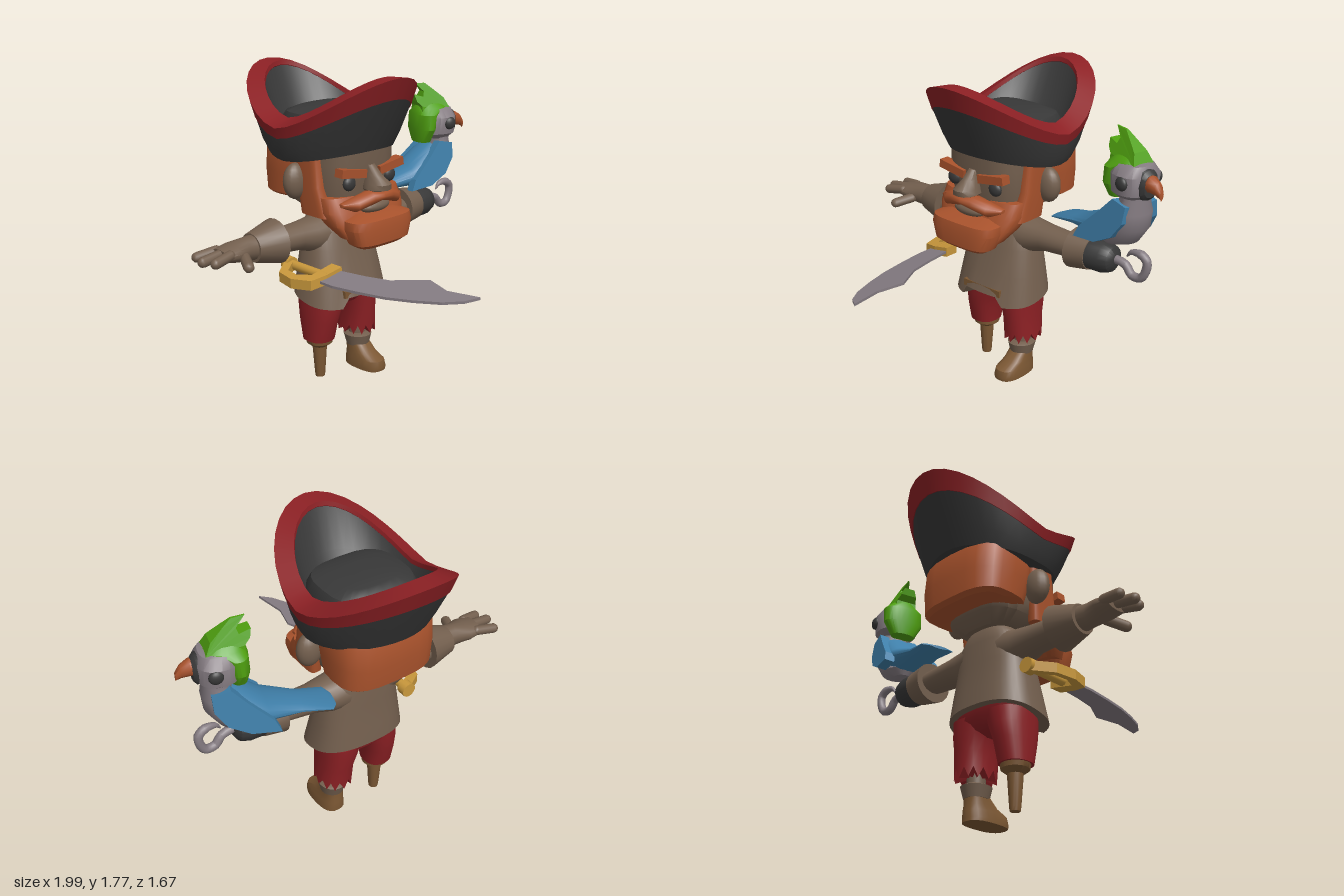
import * as THREE from 'three';
import { toCreasedNormals } from 'three/addons/utils/BufferGeometryUtils.js';

const material = (name, color) => Object.assign(new THREE.MeshStandardMaterial({ color }), { name });
const V = (x, y, z) => new THREE.Vector3(x, y, z);

export function createModel() {
  const brown = material('brown', 0x735f4e), red = material('red', 0x8c2024), black = material('black', 0x383838);
  const orange = material('orange', 0xa8522c), green = material('green', 0x4fa010), blue = material('blue', 0x3f7fa9);
  const grey = material('grey', 0x857c82), gold = material('gold', 0xc9983c), wood = material('wood', 0x7b5733);
  const model = new THREE.Group();
  const CX = -0.04; // middle of the figure

  const add = (name, geo, mat, parent = model) => {
    const mesh = new THREE.Mesh(geo, mat);
    mesh.name = name;
    parent.add(mesh);
    return mesh;
  };
  const ball = (name, mat, [x, y, z], [a, b, c], parent) => {
    const mesh = add(name, new THREE.SphereGeometry(1, 18, 12), mat, parent);
    mesh.position.set(x, y, z);
    mesh.scale.set(a, b, c);
  };
  const box = (name, mat, [x, y, z], [w, h, d], tilt = 0) => {
    const mesh = add(name, new THREE.BoxGeometry(w, h, d), mat);
    mesh.position.set(x, y, z);
    mesh.rotation.z = tilt;
  };
  // Skin over rings of points, with end caps unless it is a hoop, turned outward by its signed volume
  const skin = (rings, crease = 0.7, caps = true) => {
    const tris = [], n = rings[0].length;
    const mid = r => r.reduce((s, p) => s.add(p), V(0, 0, 0)).divideScalar(n);
    const first = mid(rings[0]), last = mid(rings.at(-1));
    for (let i = 0; i < n; i++) {
      const k = (i + 1) % n;
      if (caps) tris.push([first, rings[0][i], rings[0][k]], [last, rings.at(-1)[k], rings.at(-1)[i]]);
      for (let j = 0; j + 1 < rings.length; j++) {
        const a = rings[j], b = rings[j + 1];
        tris.push([a[i], b[i], a[k]], [a[k], b[i], b[k]]);
      }
    }
    const volume = tris.reduce((s, [a, b, c]) => s + a.dot(b.clone().cross(c)), 0);
    const pts = tris.flatMap(t => volume < 0 ? [t[0], t[2], t[1]] : t);
    return toCreasedNormals(new THREE.BufferGeometry().setFromPoints(pts), crease);
  };
  // Superellipse rings: upright rows are [y, cx, rx, zBack, zFront], sideways rows [x, cy, ry, cz, rz]
  const pow = (v, p) => Math.sign(v) * Math.abs(v) ** p;
  const loop = (n, f, p = 1) => Array.from({ length: n }, (_, i) => {
    const a = i / n * Math.PI * 2;
    return f(pow(Math.cos(a), p), pow(Math.sin(a), p));
  });
  const upright = (rows, p = 1, n = 24) => rows.map(([y, cx, rx, z0, z1]) =>
    loop(n, (c, s) => V(cx + rx * c, y, (z0 + z1) / 2 + (z1 - z0) / 2 * s), p));
  const sideways = (rows, p = 1, n = 18) => rows.map(([x, cy, ry, cz, rz]) =>
    loop(n, (c, s) => V(x, cy + ry * c, cz + rz * s), p));
  const plate = (pts, depth) => new THREE.ExtrudeGeometry(
    new THREE.Shape(pts.map(([x, y]) => new THREE.Vector2(x, y))), { depth, bevelEnabled: false });

  // Tunic with a lower front hem and a notch in its middle
  const tunic = upright([[0.51, CX, 0.28, -0.445, -0.045], [0.65, CX, 0.255, -0.435, -0.085], [0.8, CX, 0.23, -0.415, -0.125],
    [0.92, CX, 0.205, -0.41, -0.16], [0.98, CX, 0.16, -0.4, -0.18], [1.04, CX, 0.11, -0.37, -0.18]], 0.8, 40);
  tunic[0].forEach(p => {
    p.y = 0.47 + 0.08 * THREE.MathUtils.clamp((-0.045 - p.z) / 0.4, 0, 1) ** 1.4;
    if (p.z > -0.16 && Math.abs(p.x - CX) < 0.14) p.y = 0.53;
  });
  add('tunic', skin(tunic), brown);
  box('belt', wood, [CX, 0.55, -0.073], [0.27, 0.04, 0.03]);

  // Arms with turned cuffs
  for (const s of [-1, 1]) {
    add('sleeve', skin(sideways([[CX + s * 0.08, 0.875, 0.12, -0.285, 0.12], [CX + s * 0.2, 0.872, 0.098, -0.28, 0.108],
      [CX + s * 0.3, 0.883, 0.077, -0.28, 0.088], [CX + s * 0.52, 0.89, 0.06, -0.27, 0.08]])), brown);
  }
  add('rightCuff', skin(sideways([[-0.49, 0.895, 0.125, -0.27, 0.13], [-0.65, 0.89, 0.08, -0.275, 0.085]]), 0.5), brown);
  add('leftCuff', skin(sideways([[0.46, 0.89, 0.115, -0.27, 0.12], [0.58, 0.89, 0.095, -0.27, 0.1]]), 0.5), brown);

  // Right hand with spread fingers
  add('palm', skin(sideways([[-0.62, 0.895, 0.07, -0.27, 0.07], [-0.7, 0.895, 0.065, -0.27, 0.06],
    [-0.78, 0.897, 0.052, -0.27, 0.085], [-0.86, 0.897, 0.034, -0.27, 0.08]])), brown);
  const finger = (a, b, r) => {
    const mesh = add('finger', new THREE.CapsuleGeometry(r, a.distanceTo(b) - r, 4, 10), brown);
    mesh.position.copy(a).lerp(b, 0.5);
    mesh.quaternion.setFromUnitVectors(V(0, 1, 0), b.clone().sub(a).normalize());
  };
  [[-0.33, -0.355, -0.955], [-0.27, -0.265, -0.98], [-0.215, -0.195, -0.95]].forEach(([z0, z1, x]) =>
    finger(V(-0.82, 0.908, z0), V(x, 0.888, z1), 0.028));
  finger(V(-0.74, 0.88, -0.22), V(-0.8, 0.855, -0.1), 0.029);

  // Hook on the left arm
  add('hookCup', skin(sideways([[0.57, 0.89, 0.09, -0.27, 0.095], [0.66, 0.89, 0.088, -0.27, 0.09],
    [0.71, 0.89, 0.07, -0.27, 0.07], [0.73, 0.89, 0.035, -0.27, 0.035]])), black);
  const hookPath = new THREE.CatmullRomCurve3([[0.71, 0.9], [0.79, 0.885], [0.83, 0.838], [0.885, 0.838], [0.913, 0.88],
    [0.918, 0.94], [0.88, 0.97], [0.82, 0.965], [0.795, 0.935]].map(([x, y]) => V(x, y, -0.27)));
  const hook = Array.from({ length: 25 }, (_, i) => {
    const t = i / 24, c = hookPath.getPoint(t), d = hookPath.getTangent(t), r = t < 0.75 ? 0.024 : 0.024 - (t - 0.75) * 0.08;
    return loop(10, (a, b) => V(c.x - d.y * r * a, c.y + d.x * r * a, c.z + r * b));
  });
  add('hook', skin(hook), grey);

  // Trousers: hips, a neat right leg and a ragged left leg
  add('trouserHips', skin(upright([[0.425, CX, 0.1, -0.3, -0.24], [0.45, CX, 0.17, -0.37, -0.17], [0.5, CX, 0.235, -0.41, -0.125],
    [0.6, CX, 0.235, -0.41, -0.12]], 0.75), 1.2), red);
  add('rightTrouserLeg', skin(upright([[0.24, -0.19, 0.083, -0.36, -0.18], [0.36, -0.185, 0.092, -0.39, -0.15],
    [0.44, -0.172, 0.106, -0.405, -0.135], [0.52, -0.155, 0.122, -0.41, -0.13]], 0.85)), red);
  const ragged = upright([[0.24, 0.105, 0.097, -0.38, -0.15], [0.36, 0.1, 0.094, -0.39, -0.14],
    [0.44, 0.09, 0.106, -0.405, -0.135], [0.52, 0.075, 0.122, -0.41, -0.13]], 0.85);
  ragged[0].forEach((p, i) => { p.y += i % 2 ? 0.03 : -0.025; });
  add('leftTrouserLeg', skin(ragged), red);

  // Peg leg, and the other leg with its boot
  add('pegLeg', skin(upright([[0, -0.185, 0.027, -0.297, -0.243], [0.02, -0.185, 0.03, -0.3, -0.24], [0.19, -0.185, 0.042, -0.312, -0.228],
    [0.215, -0.185, 0.075, -0.345, -0.195], [0.25, -0.188, 0.08, -0.35, -0.19]])), wood);
  add('leftShin', skin(upright([[0.12, 0.105, 0.05, -0.31, -0.21], [0.32, 0.105, 0.05, -0.31, -0.21]])), brown);
  add('bootCuff', skin(upright([[0.125, 0.105, 0.065, -0.325, -0.185], [0.19, 0.105, 0.08, -0.345, -0.17], [0.2, 0.105, 0.06, -0.325, -0.19]])), brown);
  add('boot', skin(upright([[0, 0.105, 0.075, -0.325, -0.055], [0.02, 0.105, 0.075, -0.325, -0.05], [0.06, 0.105, 0.07, -0.325, -0.06],
    [0.09, 0.105, 0.063, -0.32, -0.13], [0.14, 0.105, 0.06, -0.32, -0.19]], 0.75)), wood);

  // Head and face
  add('head', skin(upright([[1, CX, 0.15, -0.42, -0.12], [1.06, CX, 0.23, -0.48, -0.02], [1.14, CX, 0.25, -0.5, 0.0],
    [1.3, CX, 0.255, -0.51, 0.015], [1.43, CX, 0.25, -0.5, 0.02]], 0.65)), brown);
  add('nose', skin(upright([[1.29, CX, 0.025, -0.02, 0.025], [1.24, CX, 0.035, -0.03, 0.08], [1.195, CX, 0.06, -0.03, 0.14],
    [1.165, CX, 0.068, -0.03, 0.135], [1.145, CX, 0.04, -0.03, 0.06]], 0.85, 12)), brown);
  for (const s of [-1, 1]) {
    ball('ear', brown, [CX + s * 0.3, 1.2, -0.27], [0.075, 0.1, 0.055]);
    ball('eye', black, [CX + s * 0.15, 1.205, -0.005], [0.042, 0.04, 0.025]);
    box('eyebrow', orange, [CX + s * 0.14, 1.262, 0.0], [0.18, 0.046, 0.06], s * 0.15);
    add('sideburn', skin(upright([[1.02, CX + s * 0.245, 0.037, -0.26, -0.06], [1.18, CX + s * 0.25, 0.04, -0.28, -0.11],
      [1.38, CX + s * 0.24, 0.05, -0.3, -0.13]], 0.5)), orange);
    add('moustacheHalf', skin(sideways([[CX, 1.13, 0.028, 0.07, 0.05], [CX + s * 0.07, 1.125, 0.04, 0.06, 0.055],
      [CX + s * 0.15, 1.095, 0.038, 0.03, 0.05], [CX + s * 0.215, 1.095, 0.01, 0, 0.025]], 1, 12), 1), orange);
  }
  add('jawBeard', skin(upright([[0.91, CX, 0.2, -0.06, 0.07], [0.98, CX, 0.25, -0.14, 0.05], [1.05, CX, 0.275, -0.22, 0.03],
    [1.13, CX, 0.275, -0.27, -0.01]], 0.55)), orange);
  add('chinBeard', skin(upright([[0.86, CX, 0.15, 0, 0.12], [0.885, CX, 0.19, -0.02, 0.15], [0.97, CX, 0.22, -0.06, 0.155],
    [1.015, CX, 0.215, -0.06, 0.145], [1.04, CX, 0.14, -0.06, 0.07]], 0.6), 0.55), orange);
  ball('mouth', brown, [CX, 1.065, 0.035], [0.105, 0.035, 0.045]);
  add('backHair', skin(upright([[1.08, CX, 0.25, -0.6, -0.34], [1.1, CX, 0.28, -0.625, -0.26], [1.22, CX, 0.288, -0.635, -0.22],
    [1.35, CX, 0.288, -0.625, -0.2], [1.41, CX, 0.27, -0.6, -0.2]], 0.65), 0.55), orange);

  // Hat: saddle-shaped rings given by [rx, rz, side height, front and back height]
  const hatRing = ([rx, rz, side, end]) => loop(36, (c, s) =>
    V(CX + rx * c, side + (end - side) * Math.abs(s) ** 1.5, -0.31 + rz * s));
  const rimLow = [0.385, 0.485, 1.44, 1.66];
  add('hatBrim', skin([[0.345, 0.345, 1.31, 1.37], [0.37, 0.4, 1.36, 1.48], rimLow, [0.35, 0.455, 1.47, 1.72],
    [0.302, 0.422, 1.515, 1.745], [0.275, 0.32, 1.46, 1.53], [0.26, 0.24, 1.44, 1.44]].map(hatRing)), black);
  add('hatTrim', skin([[0.37, 0.47, 1.437, 1.657], [0.388, 0.488, 1.437, 1.657], [0.402, 0.53, 1.495, 1.775], [0.305, 0.423, 1.54, 1.77],
    [0.302, 0.418, 1.515, 1.745], [0.37, 0.47, 1.437, 1.657]].map(hatRing), 0.7, false), red);
  add('hatCrown', skin(upright([[1.4, CX, 0.265, -0.54, -0.08], [1.5, CX, 0.265, -0.53, -0.07], [1.55, CX, 0.24, -0.5, -0.09],
    [1.575, CX, 0.17, -0.44, -0.15], [1.58, CX, 0.08, -0.36, -0.22]], 0.65)), black);

  // Cutlass at the right hip, its flat side tilted
  const flat = (pts, depth) => {
    const geo = plate(pts, depth).rotateX(Math.PI / 2).translate(0, depth / 2, 0), p = geo.attributes.position;
    for (let i = 0; i < p.count; i++) p.setY(i, p.getY(i) + 0.718 + 0.2 * (p.getX(i) + 0.3));
    geo.computeVertexNormals();
    return geo;
  };
  add('blade', flat([[-0.4, -0.03], [-0.4, 0.08], [-0.375, 0.24], [-0.34, 0.41], [-0.29, 0.56], [-0.23, 0.7], [-0.165, 0.79], [-0.095, 0.835],
    [-0.13, 0.645], [-0.09, 0.495], [-0.2, 0.31], [-0.235, 0.16], [-0.265, -0.03]], 0.014), grey);
  add('handGuard', flat([[-0.255, 0], [-0.36, -0.005], [-0.45, -0.03], [-0.49, -0.15], [-0.47, -0.27], [-0.36, -0.35], [-0.34, -0.3],
    [-0.43, -0.24], [-0.44, -0.16], [-0.4, -0.08], [-0.255, -0.08]], 0.055), gold);
  const rod = (name, z, len, r) => add(name, new THREE.CylinderGeometry(r, r, len, 14).rotateX(Math.PI / 2), gold).position.set(-0.34, 0.712, z);
  rod('grip', -0.17, 0.3, 0.026);
  rod('pommel', -0.335, 0.05, 0.042);

  // Parrot on the left arm
  const parrot = new THREE.Group();
  parrot.name = 'parrot';
  parrot.position.set(0.8, 0, -0.29);
  parrot.rotation.y = -0.25;
  model.add(parrot);
  add('parrotBody', skin(upright([[0.97, -0.13, 0.05, -0.05, 0.05], [1.01, -0.09, 0.11, -0.1, 0.1], [1.1, -0.03, 0.11, -0.12, 0.12],
    [1.19, 0.005, 0.085, -0.11, 0.11], [1.26, 0.01, 0.07, -0.085, 0.085], [1.34, 0, 0.09, -0.1, 0.1]])), grey, parrot);
  add('parrotTail', skin(sideways([[0, 1.2, 0.08, 0, 0.08], [-0.1, 1.115, 0.11, 0, 0.125], [-0.22, 1.055, 0.065, 0, 0.125],
    [-0.4, 1.015, 0.03, 0, 0.09], [-0.56, 0.985, 0.012, 0, 0.095], [-0.59, 0.975, 0.008, 0, 0.05]])), blue, parrot);
  for (const s of [-1, 1]) {
    const wing = add('wing', plate([[0.055, 0.14], [0.05, 0.05], [-0.01, -0.04], [-0.12, -0.1], [-0.27, -0.115], [-0.24, -0.05],
      [-0.12, 0.07], [-0.04, 0.16]], 0.055).translate(0, 0, -0.0275), blue, parrot);
    wing.position.set(0, 1.1, s * 0.104);
    wing.rotation.set(-s * 0.14, s * 0.1, 0);
    ball('parrotEye', black, [0.03, 1.365, s * 0.116], [0.038, 0.038, 0.024], parrot);
  }
  add('parrotHead', skin(upright([[1.27, 0, 0.07, -0.08, 0.08], [1.3, 0, 0.105, -0.115, 0.115], [1.4, 0, 0.11, -0.125, 0.125],
    [1.45, -0.01, 0.095, -0.09, 0.09], [1.465, -0.02, 0.05, -0.04, 0.04]], 0.8)), grey, parrot);
  add('parrotMask', skin(sideways([[0.06, 1.36, 0.088, 0, 0.07], [0.105, 1.355, 0.08, 0, 0.06], [0.122, 1.355, 0.06, 0, 0.045]], 0.8, 12)), black, parrot);
  add('beak', skin(sideways([[0.08, 1.36, 0.055, 0, 0.045], [0.13, 1.37, 0.045, 0, 0.042], [0.175, 1.355, 0.035, 0, 0.028],
    [0.2, 1.33, 0.022, 0, 0.014], [0.2, 1.305, 0.004, 0, 0.004]], 1, 10)), orange, parrot);
  add('greenCap', skin(upright([[1.25, -0.1, 0.045, -0.07, 0.07], [1.33, -0.095, 0.06, -0.116, 0.116], [1.42, -0.085, 0.065, -0.116, 0.116],
    [1.455, -0.04, 0.1, -0.085, 0.085], [1.48, -0.045, 0.08, -0.055, 0.055]], 0.85), 0.5), green, parrot);
  const crest = plate([[0.06, 1.45], [0.03, 1.51], [-0.03, 1.56], [-0.08, 1.6], [-0.15, 1.605], [-0.1, 1.555], [-0.11, 1.525],
    [-0.17, 1.54], [-0.16, 1.5], [-0.13, 1.47], [-0.13, 1.42]], 0.13).translate(0, 0, -0.065);
  const cp = crest.attributes.position;
  for (let i = 0; i < cp.count; i++) cp.setZ(i, cp.getZ(i) * THREE.MathUtils.clamp((1.615 - cp.getY(i)) / 0.16, 0.06, 1));
  crest.computeVertexNormals();
  add('crest', crest, green, parrot);
  return model;
}
